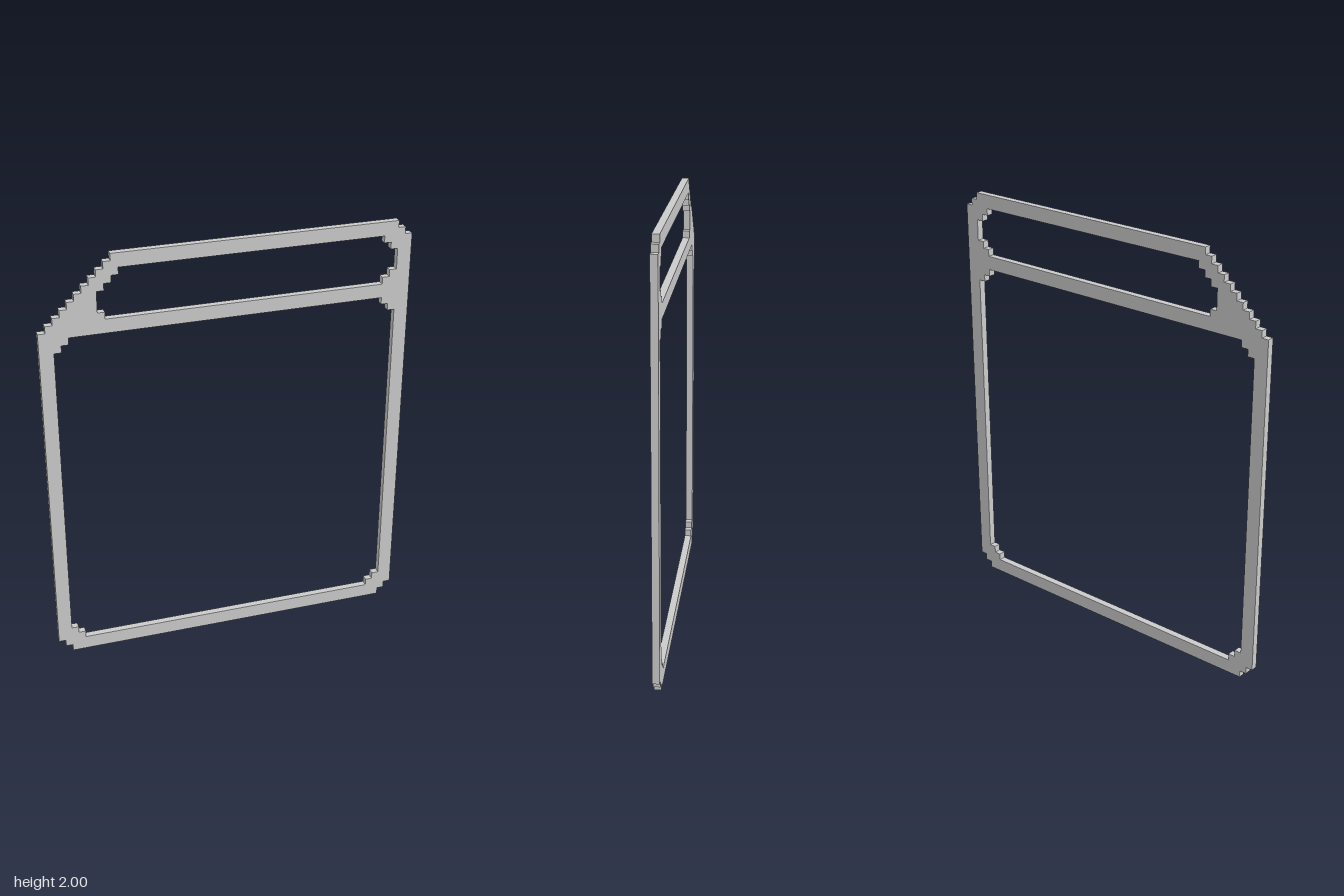
import * as THREE from 'three';

// Side of one square cell; the frame is 52 cells wide, 61 high, 1 deep
const U = 2 / 61;

// Staircase from one grid corner to another, one cell at a time.
// xFirst: take the horizontal move of each step before the vertical one.
function stairs(x0, y0, x1, y1, xFirst) {
  const points = [[x0, y0]];
  const dx = Math.sign(x1 - x0), dy = Math.sign(y1 - y0);
  let x = x0, y = y0, horizontal = xFirst;
  while (x !== x1 || y !== y1) {
    if (horizontal) x += dx; else y += dy;
    points.push([x, y]);
    horizontal = !horizontal;
  }
  return points;
}

const toVectors = (cells) => cells.map(([x, y]) => new THREE.Vector2((x - 26) * U, y * U));

export function createModel() {
  const model = new THREE.Group();
  model.name = 'steppedFrame';

  // Outer outline, with the large stepped bevel at the upper left of the front
  const outline = new THREE.Shape(toVectors([
    ...stairs(50, 0, 52, 2, false),
    ...stairs(52, 59, 50, 61, true),
    ...stairs(10, 61, 0, 51, false),
    ...stairs(0, 2, 2, 0, true),
  ]));

  // Large lower opening
  const lowerOpening = new THREE.Path(toVectors([
    ...stairs(48, 2, 50, 4, false),
    ...stairs(50, 48, 48, 50, true),
    ...stairs(4, 50, 2, 48, false),
    ...stairs(2, 4, 4, 2, true),
  ]));

  // Narrow upper opening, following the bevel
  const upperOpening = new THREE.Path(toVectors([
    ...stairs(48, 52, 50, 54, false),
    ...stairs(50, 57, 48, 59, true),
    ...stairs(11, 59, 8, 56, false),
    ...stairs(8, 53, 9, 52, true),
  ]));

  outline.holes.push(lowerOpening, upperOpening);

  const geometry = new THREE.ExtrudeGeometry(outline, { depth: U, bevelEnabled: false });
  geometry.translate(0, 0, -U / 2);

  const frame = new THREE.Mesh(
    geometry,
    new THREE.MeshStandardMaterial({ color: 0xcccccc, flatShading: true }),
  );
  frame.name = 'frame';
  model.add(frame);
  return model;
}
